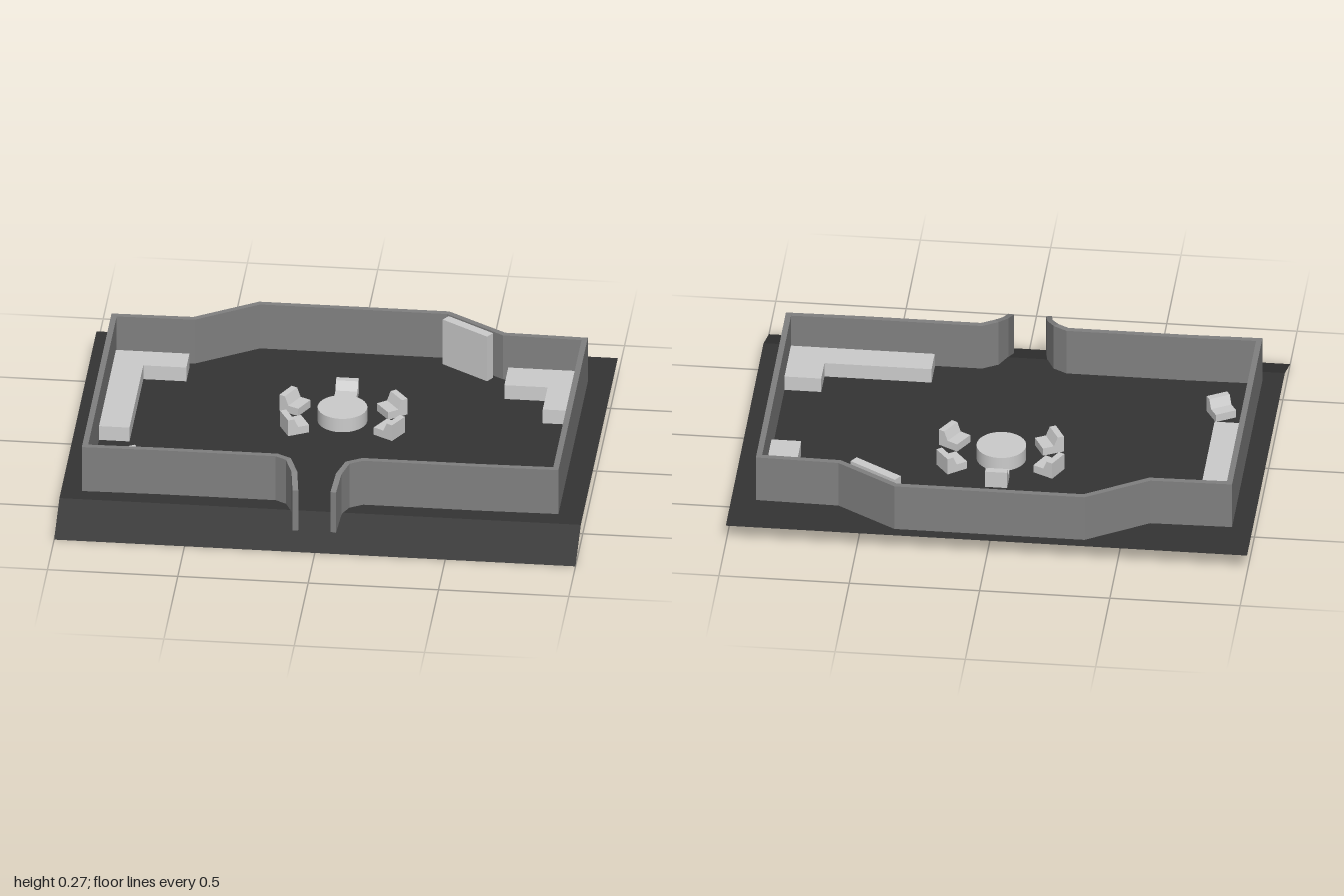
import * as THREE from 'three';

const FLOOR = 0.077; // height of the level floor
const BASE = 0.075;  // furniture sinks slightly into the floor

const floorMat = new THREE.MeshStandardMaterial({ color: 0x343434, side: THREE.DoubleSide });
floorMat.name = 'dark floor';
const wallMat = new THREE.MeshStandardMaterial({ color: 0x808080 });
wallMat.name = 'grey wall';
const furnitureMat = new THREE.MeshStandardMaterial({ color: 0xcccccc });
furnitureMat.name = 'pale furniture';

function addMesh(parent, name, geometry, material) {
  const mesh = new THREE.Mesh(geometry, material);
  mesh.name = name;
  parent.add(mesh);
  return mesh;
}

// Level sheet with a ramp folded down along the front
function floorGeometry() {
  const geo = new THREE.PlaneGeometry(2, 1.52, 1, 2).rotateX(-Math.PI / 2);
  const pos = geo.attributes.position;
  for (let i = 0; i < pos.count; i++) {
    const row = Math.floor(i / 2);
    pos.setY(i, row === 2 ? 0 : FLOOR);
    if (row === 1) pos.setZ(i, 0.57);
  }
  const flat = geo.toNonIndexed();
  flat.computeVertexNormals();
  return flat;
}

// Wall of constant thickness swept along an open path, dropping with the ramp
function wallGeometry(path, thickness, height) {
  const pts = path.map(([x, z]) => new THREE.Vector2(x, z));
  const rings = pts.map((p, i) => {
    const normal = (a, b) => {
      const d = b.clone().sub(a).normalize();
      return new THREE.Vector2(-d.y, d.x);
    };
    const n1 = i > 0 ? normal(pts[i - 1], p) : normal(p, pts[i + 1]);
    const n2 = i < pts.length - 1 ? normal(p, pts[i + 1]) : n1;
    const miter = n1.clone().add(n2).normalize();
    miter.multiplyScalar(thickness / 2 / miter.dot(n1));
    const y = FLOOR - Math.max(0, p.y - 0.53) * 0.41;
    const corner = (side, h) => [p.x + miter.x * side, y + h, p.y + miter.y * side];
    return [corner(-1, 0), corner(1, 0), corner(1, height), corner(-1, height)];
  });
  const out = [];
  const quad = (a, b, c, d) => out.push(...a, ...b, ...c, ...a, ...c, ...d);
  quad(...rings[0]);
  for (let i = 0; i < rings.length - 1; i++) {
    for (let k = 0; k < 4; k++) {
      const n = (k + 1) % 4;
      quad(rings[i][k], rings[i + 1][k], rings[i + 1][n], rings[i][n]);
    }
  }
  quad(...rings[rings.length - 1].slice().reverse());
  const geo = new THREE.BufferGeometry();
  geo.setAttribute('position', new THREE.Float32BufferAttribute(out, 3));
  geo.computeVertexNormals();
  return geo;
}

// Solid block from a floor plan outline given as [x, z]
function blockGeometry(plan, height) {
  const shape = new THREE.Shape(plan.map(([x, z]) => new THREE.Vector2(x, -z)));
  return new THREE.ExtrudeGeometry(shape, { depth: height, bevelEnabled: false })
    .rotateX(-Math.PI / 2).translate(0, BASE, 0);
}

// Chair from a side profile; the seat faces +x
function chairGeometry() {
  const profile = [[-0.043, 0], [0.043, 0], [0.043, 0.034], [-0.002, 0.034], [-0.018, 0.07], [-0.043, 0.07]];
  const shape = new THREE.Shape(profile.map(([x, y]) => new THREE.Vector2(x, y)));
  return new THREE.ExtrudeGeometry(shape, { depth: 0.085, bevelEnabled: false }).translate(0, 0, -0.0425);
}

export function createModel() {
  const model = new THREE.Group();
  model.name = 'walledRoom';

  addMesh(model, 'floor', floorGeometry(), floorMat);

  // Centre line from the right entrance wing, around the back, to the left wing
  const path = [
    [0.06, 0.662], [0.072, 0.577], [0.1, 0.52], [0.155, 0.488], [0.6, 0.488], [0.895, 0.483],
    [0.895, -0.552], [0.585, -0.558], [0.355, -0.703], [-0.368, -0.703], [-0.604, -0.556],
    [-0.91, -0.55], [-0.91, 0.494], [-0.63, 0.488], [-0.175, 0.488], [-0.128, 0.515],
    [-0.098, 0.577], [-0.085, 0.662],
  ];
  addMesh(model, 'wall', wallGeometry(path, 0.022, 0.191), wallMat);

  // L-shaped counters in three corners
  const counters = {
    backLeftCounter: [[-0.9, -0.513], [-0.617, -0.513], [-0.617, -0.402], [-0.782, -0.402], [-0.782, 0.095], [-0.9, 0.095]],
    backRightCounter: [[0.604, -0.533], [0.892, -0.533], [0.892, -0.216], [0.77, -0.216], [0.77, -0.392], [0.604, -0.392]],
    frontRightCounter: [[0.332, 0.355], [0.743, 0.355], [0.743, 0.242], [0.885, 0.242], [0.885, 0.467], [0.332, 0.467]],
  };
  for (const [name, plan] of Object.entries(counters)) {
    addMesh(model, name, blockGeometry(plan, 0.062), furnitureMat);
  }

  // Round table with its ring of chairs
  const table = addMesh(model, 'roundTable', new THREE.CylinderGeometry(0.095, 0.095, 0.06, 32), furnitureMat);
  table.position.set(0.008, BASE + 0.03, -0.158);

  const chairGeo = chairGeometry();
  const placeChair = (name, x, z, dx, dz) => {
    const chair = addMesh(model, name, chairGeo, furnitureMat);
    chair.position.set(x, BASE, z);
    chair.rotation.y = Math.atan2(-dz, dx);
  };
  placeChair('backChair', 0.005, -0.33, 0, 1);
  placeChair('backLeftChair', -0.182, -0.23, 0.89, 0.46);
  placeChair('backRightChair', 0.19, -0.24, -0.8, 0.6);
  placeChair('frontLeftChair', -0.166, -0.068, 0.89, -0.46);
  placeChair('frontRightChair', 0.197, -0.073, -0.87, -0.5);
  placeChair('counterChair', -0.792, 0.247, -0.5, -0.87);

  // Upright board along the slanted back wall
  const board = addMesh(model, 'standingBoard', new THREE.BoxGeometry(0.217, 0.196, 0.036), furnitureMat);
  board.position.set(0.442, BASE + 0.098, -0.598);
  board.rotation.y = -0.57;

  return model;
}
